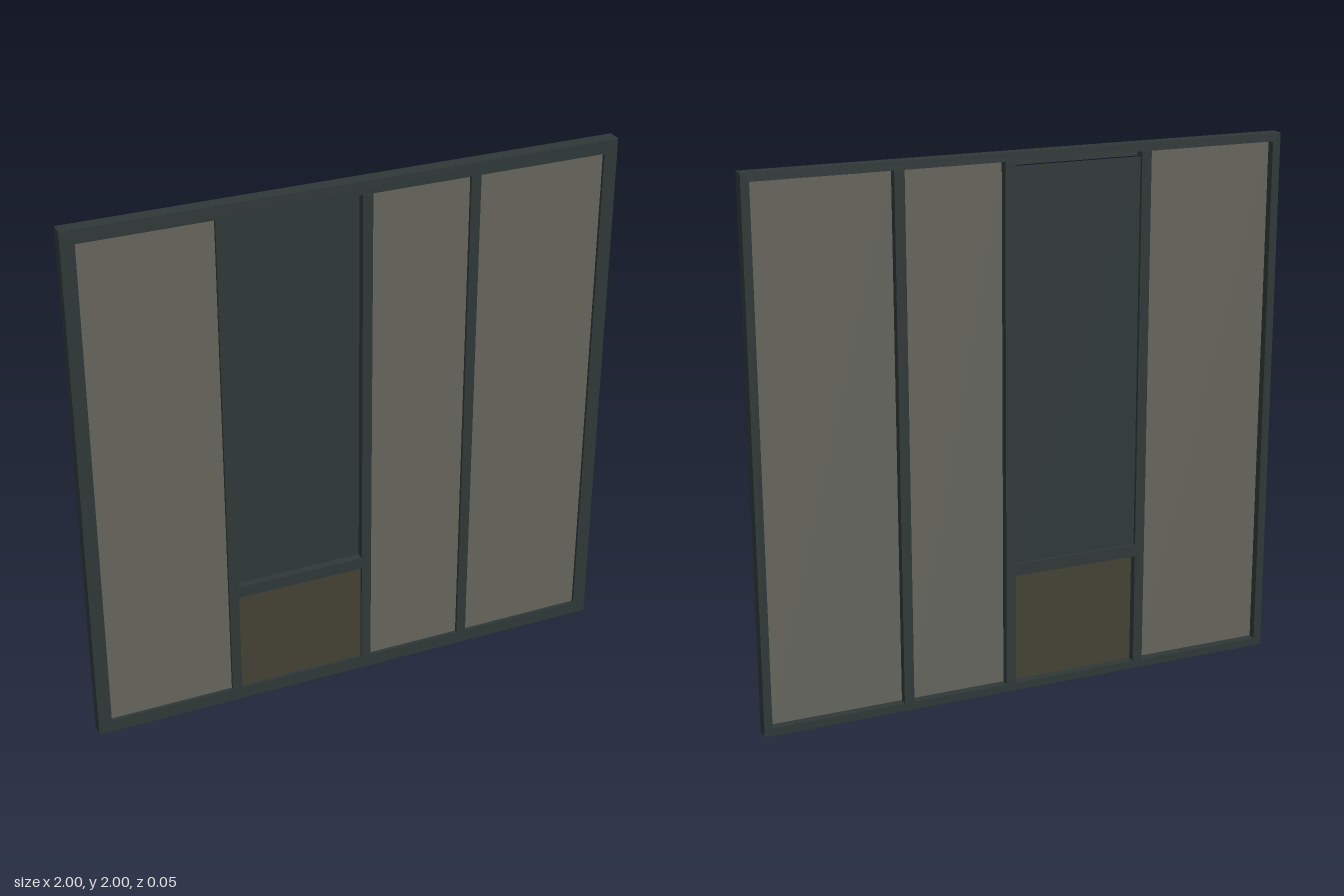
import * as THREE from 'three';

const frameMat = new THREE.MeshStandardMaterial({ color: 0x2f3837 });
frameMat.name = 'dark slate frame';
const glassMat = new THREE.MeshStandardMaterial({ color: 0x64645c });
glassMat.name = 'grey glass';
const lowerMat = new THREE.MeshStandardMaterial({ color: 0x434134 });
lowerMat.name = 'olive glass';

// Box given by its limits on each axis
function slab(name, mat, x0, x1, y0, y1, z0, z1) {
  const mesh = new THREE.Mesh(new THREE.BoxGeometry(x1 - x0, y1 - y0, z1 - z0), mat);
  mesh.position.set((x0 + x1) / 2, (y0 + y1) / 2, (z0 + z1) / 2);
  mesh.name = name;
  return mesh;
}

// Square ring of the given border width, extruded from z0 to z1
function ring(name, border, z0, z1) {
  const shape = new THREE.Shape([[-1, 0], [1, 0], [1, 2], [-1, 2]].map(p => new THREE.Vector2(...p)));
  const a = 1 - border, lo = border, hi = 2 - border;
  shape.holes.push(new THREE.Path([[-a, lo], [-a, hi], [a, hi], [a, lo]].map(p => new THREE.Vector2(...p))));
  const geo = new THREE.ExtrudeGeometry(shape, { depth: z1 - z0, bevelEnabled: false });
  geo.translate(0, 0, z0);
  const mesh = new THREE.Mesh(geo, frameMat);
  mesh.name = name;
  return mesh;
}

export function createModel() {
  const model = new THREE.Group();
  model.name = 'windowWall';
  const back = -0.025, lip = 0.013, front = 0.025;

  // Outer frame: narrow web behind a wider front lip
  model.add(ring('frameWeb', 0.03, back, lip));
  model.add(ring('frameLip', 0.05, lip, front));

  // Uprights: the web runs up to the frame web, the lip stays between the frame lips
  for (const [x0, x1] of [[-0.482, -0.445], [0.038, 0.075], [0.438, 0.475]]) {
    model.add(slab('mullionWeb', frameMat, x0, x1, 0.03, 1.97, back, lip));
    model.add(slab('mullionLip', frameMat, x0, x1, 0.05, 1.95, lip, front));
  }

  // Cross bar between the two middle panels
  model.add(slab('transom', frameMat, -0.445, 0.038, 0.455, 0.5, back, front));

  // Tall glass panes set close to the front
  for (const [x0, x1] of [[-0.97, -0.482], [0.075, 0.438], [0.475, 0.97]]) {
    model.add(slab('glassPane', glassMat, x0, x1, 0.03, 1.97, 0.006, lip));
  }
  model.add(slab('lowerPane', lowerMat, -0.445, 0.038, 0.03, 0.455, 0.006, lip));

  // Recessed solid panel with a slim gap at the top
  model.add(slab('solidPanel', frameMat, -0.445, 0.038, 0.5, 1.95, -0.012, -0.005));

  return model;
}
